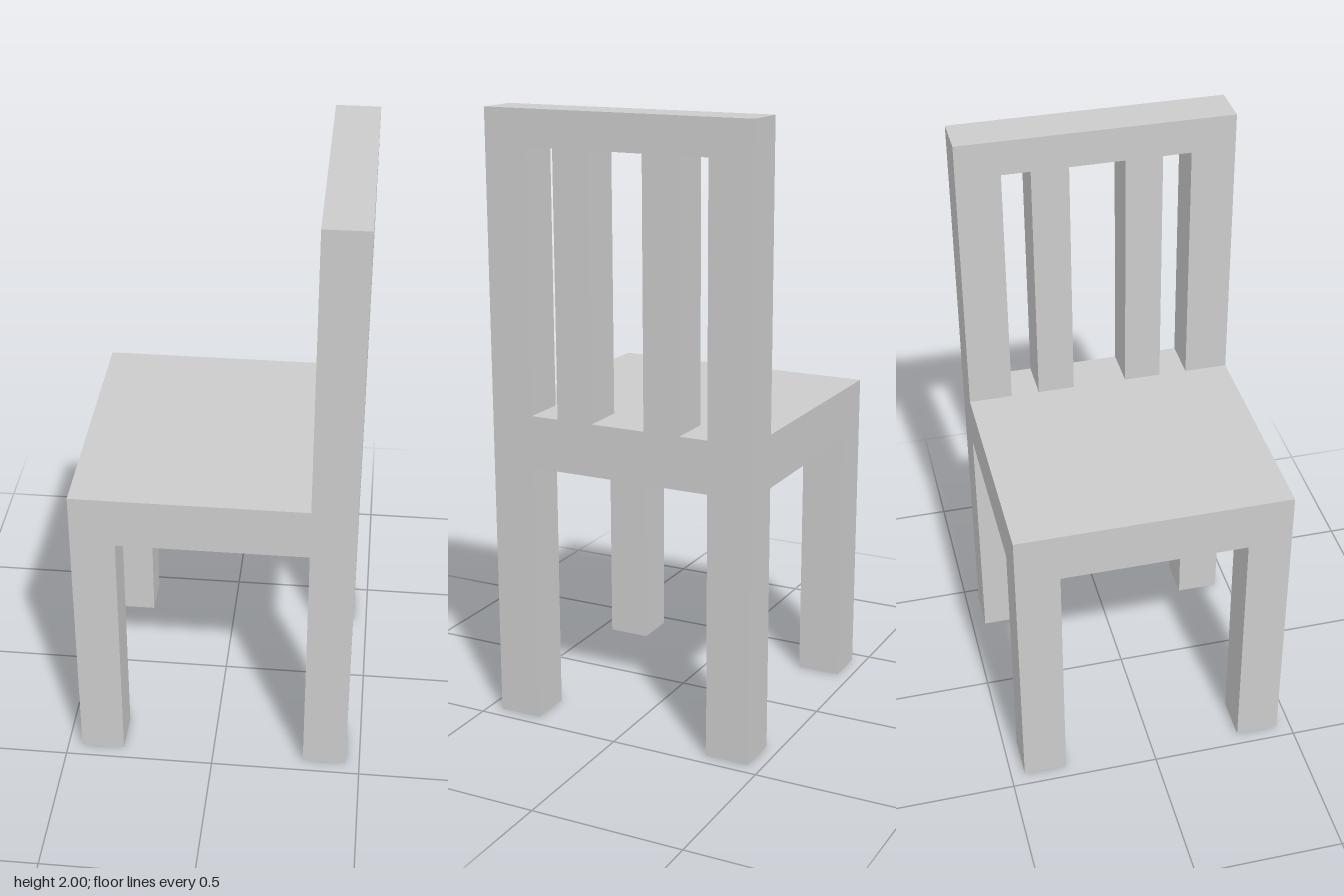
import * as THREE from 'three';

const HALF = 0.453;      // half the width and depth of the seat
const POST = 0.145;      // square section of legs and back posts
const SEAT_BOTTOM = 0.867, SEAT_TOP = 1.038, RAIL_BOTTOM = 1.884, TOP = 2;

export function createModel() {
  const chair = new THREE.Group();
  chair.name = 'chair';
  const material = new THREE.MeshStandardMaterial({ color: 0xcccccc, flatShading: true });

  // Box given by its lower and upper limits on each axis
  const addBox = (name, [x0, x1], [y0, y1], [z0, z1]) => {
    const mesh = new THREE.Mesh(new THREE.BoxGeometry(x1 - x0, y1 - y0, z1 - z0), material);
    mesh.position.set((x0 + x1) / 2, (y0 + y1) / 2, (z0 + z1) / 2);
    mesh.name = name;
    chair.add(mesh);
  };

  const inner = HALF - POST;
  const backX = [inner, HALF];
  const frontX = [-HALF, -inner];
  const fullSpan = [-HALF, HALF];

  addBox('seat', fullSpan, [SEAT_BOTTOM, SEAT_TOP], fullSpan);
  addBox('topRail', backX, [RAIL_BOTTOM, TOP], fullSpan);

  // Legs, back posts and slats, mirrored across z
  for (const side of [-1, 1]) {
    const span = (a, b) => (side > 0 ? [a, b] : [-b, -a]);
    const label = side > 0 ? 'Near' : 'Far';
    const edge = span(inner, HALF);
    addBox('seatFrontLeg' + label, frontX, [0, SEAT_BOTTOM], edge);
    addBox('seatBackLeg' + label, backX, [0, SEAT_BOTTOM], edge);
    addBox('backPost' + label, backX, [SEAT_TOP, RAIL_BOTTOM], edge);
    addBox('backSlat' + label, backX, [SEAT_TOP, RAIL_BOTTOM], span(0.091, 0.214));
  }
  return chair;
}
